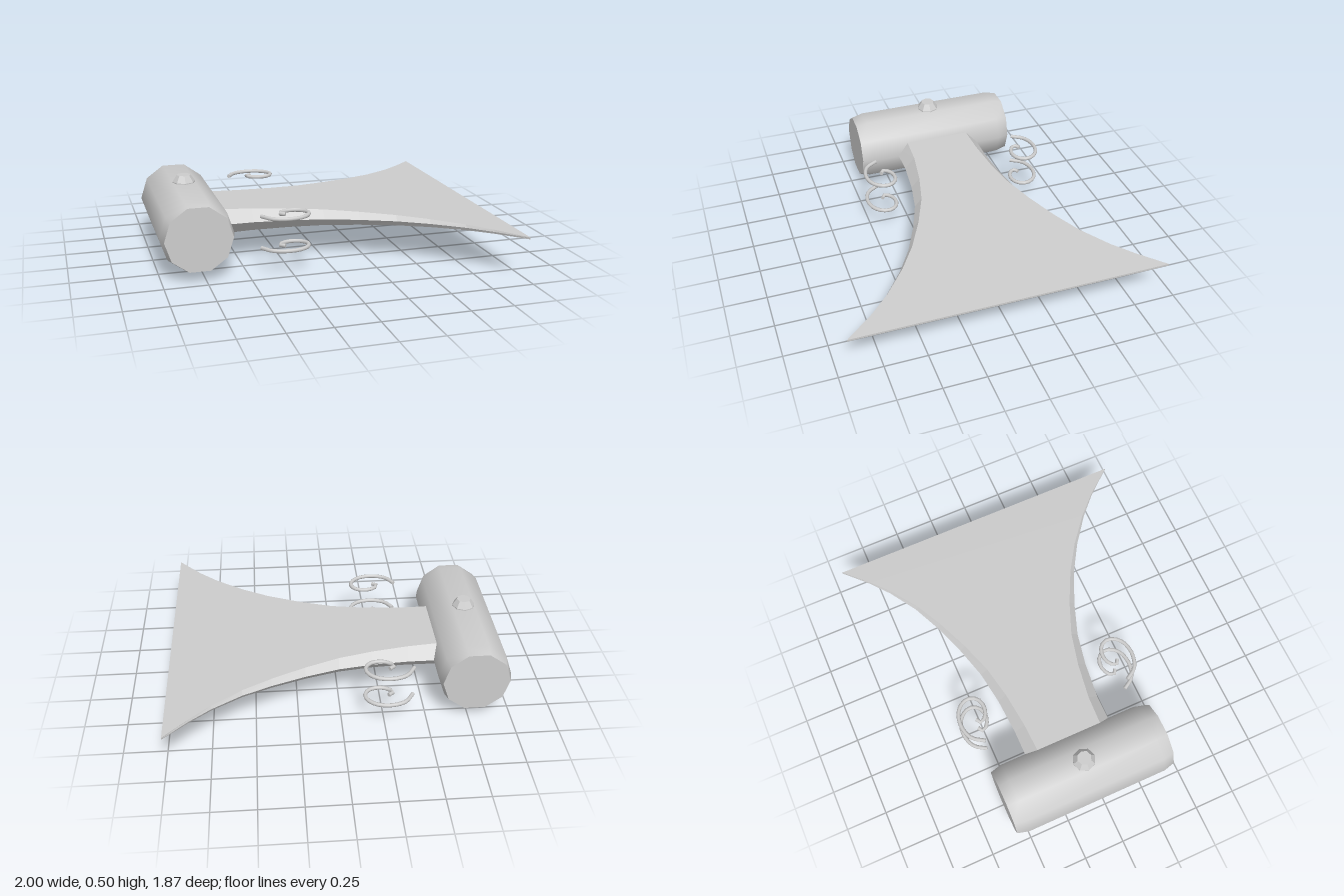
import * as THREE from 'three';
import { toCreasedNormals } from 'three/addons/utils/BufferGeometryUtils.js';

const MID_Y = 0.25, MID_Z = -0.066, BARREL_X = -0.785;

function lathe(points, sides, crease) {
  const g = new THREE.LatheGeometry(points.map(p => new THREE.Vector2(p[0], p[1])), sides);
  return toCreasedNormals(g, crease);
}

// Flared blade: hexagonal cross-sections lofted along x, bevelled edges
function bladeGeometry() {
  // x, front edge z, back edge z
  const stations = [
    [-0.7, 0.205, -0.345], [-0.42, 0.205, -0.345], [-0.2, 0.228, -0.36],
    [0, 0.267, -0.39], [0.2, 0.338, -0.447], [0.4, 0.428, -0.52],
    [0.57, 0.53, -0.597], [0.74, 0.658, -0.705], [0.86, 0.772, -0.803], [1, 0.935, -0.935],
  ];
  const rings = stations.map(([x, front, back]) => {
    const t = (1 - x) / 1.59;
    const h = 0.006 + 0.069 * t, bevel = 0.07 * t;
    return [
      [front - bevel, h], [front, 0], [front - bevel, -h],
      [back + bevel, -h], [back, 0], [back + bevel, h],
    ].map(([z, y]) => [x, MID_Y + y, z]);
  });
  const pos = [];
  const tri = (a, b, c) => pos.push(...a, ...b, ...c);
  for (let i = 0; i < rings.length - 1; i++) {
    const a = rings[i], b = rings[i + 1];
    for (let j = 0; j < 6; j++) {
      const k = (j + 1) % 6;
      tri(a[j], a[k], b[j]);
      tri(a[k], b[k], b[j]);
    }
  }
  // Thin face along the wide end
  const tip = rings[rings.length - 1];
  for (let k = 1; k < 5; k++) tri(tip[0], tip[k], tip[k + 1]);
  const g = new THREE.BufferGeometry();
  g.setAttribute('position', new THREE.Float32BufferAttribute(pos, 3));
  g.computeVertexNormals();
  return g;
}

// Spiral path; side = -1 for the back, +1 for the front
function scrollCurve(side, y) {
  const path = [
    [-0.42, 0.467], [-0.37, 0.537], [-0.285, 0.565], [-0.2, 0.55], [-0.152, 0.507],
    [-0.14, 0.457], [-0.168, 0.41], [-0.228, 0.394], [-0.285, 0.414], [-0.305, 0.448], [-0.278, 0.467],
  ];
  return new THREE.CatmullRomCurve3(path.map(([x, d]) => new THREE.Vector3(x, y, MID_Z + side * d)));
}

export function createModel() {
  const model = new THREE.Group();
  const grey = new THREE.MeshStandardMaterial({ color: 0xcccccc });
  grey.name = 'grey';
  const add = (name, geometry, parent = model) => {
    const mesh = new THREE.Mesh(geometry, grey);
    mesh.name = name;
    parent.add(mesh);
    return mesh;
  };

  // Ten-sided barrel with chamfered ends, lying along z
  const barrel = lathe([
    [0, -0.51], [0.197, -0.51], [0.215, -0.44], [0.215, 0.44], [0.197, 0.51], [0, 0.51],
  ], 10, 0.7);
  barrel.rotateY(Math.PI / 2).rotateX(Math.PI / 2);
  add('barrel', barrel).position.set(BARREL_X, MID_Y, MID_Z);

  // Bolt heads on the top and bottom of the barrel
  for (const [name, turn] of [['topBolt', 0], ['bottomBolt', Math.PI]]) {
    const bolt = add(name, lathe([[0.068, 0.18], [0.068, 0.21], [0.042, 0.25], [0, 0.25]], 8, 0.5));
    bolt.position.set(BARREL_X, MID_Y, MID_Z);
    bolt.rotation.x = turn;
  }

  add('blade', bladeGeometry());

  // Four curled scrolls, above and below on both sides
  for (const side of [-1, 1]) {
    for (const y of [0.345, 0.155]) {
      const scroll = new THREE.Group();
      scroll.name = (y > MID_Y ? 'upper' : 'lower') + (side > 0 ? 'Front' : 'Back') + 'Scroll';
      const curve = scrollCurve(side, y);
      add('scrollTube', new THREE.TubeGeometry(curve, 20, 0.012, 8), scroll);
      for (const end of [0, 1]) {
        const cap = add('scrollEnd', new THREE.CircleGeometry(0.012, 8), scroll);
        const at = curve.getPointAt(end);
        cap.position.copy(at);
        cap.lookAt(at.clone().addScaledVector(curve.getTangentAt(end), end ? 1 : -1));
      }
      model.add(scroll);
    }
  }
  return model;
}
